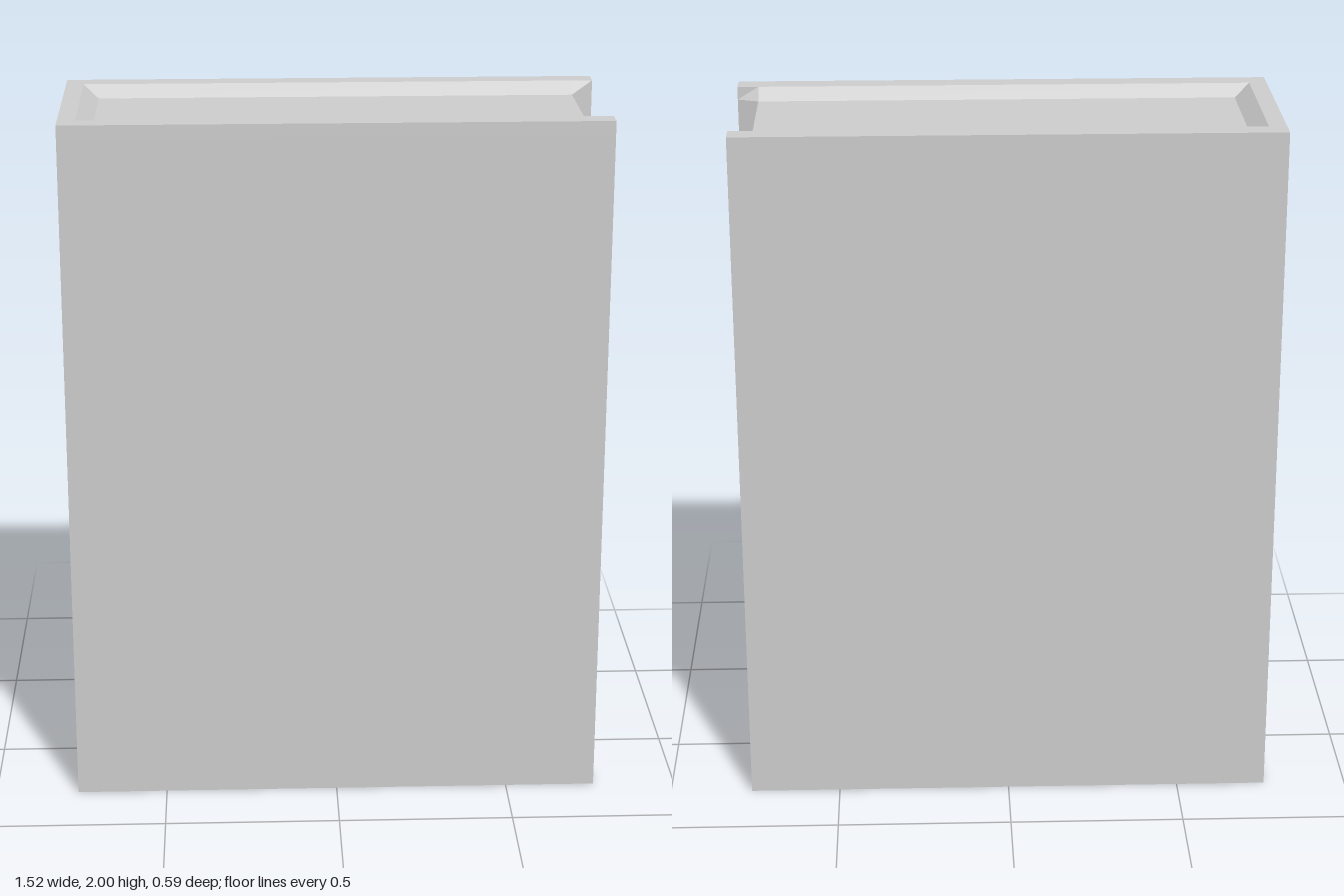
import * as THREE from 'three';

const HALF_X = 0.76, HALF_Z = 0.293;
const PAGE_BACK = -0.667, PAGE_FRONT = 0.7, PAGE_Z = 0.209;
const PAGE_BOTTOM = 0.042, PAGE_TOP = 1.963;
const RIM_BACK = -0.71, RIM_Z = 0.232;

// U-shaped outline of the cover in plan, as [x, z]; the inner corner narrows towards the pages
function coverOutline(innerBack, innerZ) {
  const half = [[-HALF_X, HALF_Z], [HALF_X, HALF_Z], [HALF_X, RIM_Z], [PAGE_FRONT, innerZ], [innerBack, innerZ]];
  return [...half, ...half.map(([x, z]) => [x, -z]).reverse()];
}

// Lofts the cover through four levels and closes both ends
function coverGeometry() {
  const levels = [
    [0, coverOutline(RIM_BACK, RIM_Z)],
    [PAGE_BOTTOM, coverOutline(PAGE_BACK, PAGE_Z)],
    [PAGE_TOP, coverOutline(PAGE_BACK, PAGE_Z)],
    [2, coverOutline(RIM_BACK, RIM_Z)],
  ];
  const n = levels[0][1].length;
  const positions = [], index = [];
  for (const [y, ring] of levels) for (const [x, z] of ring) positions.push(x, y, z);
  for (let l = 0; l < levels.length - 1; l++) {
    for (let i = 0; i < n; i++) {
      const a = l * n + i, b = l * n + (i + 1) % n;
      index.push(a, b, b + n, a, b + n, a + n);
    }
  }
  // End caps; contour given as (x, -z) so that it runs counter-clockwise from above
  const top = (levels.length - 1) * n;
  const contour = levels[0][1].map(([x, z]) => new THREE.Vector2(x, -z));
  for (const [a, b, c] of THREE.ShapeUtils.triangulateShape(contour, [])) {
    const p = contour[a], q = contour[b], r = contour[c];
    const ccw = (q.x - p.x) * (r.y - p.y) - (q.y - p.y) * (r.x - p.x) > 0;
    const [u, v] = ccw ? [b, c] : [c, b];
    index.push(top + a, top + u, top + v, a, v, u);
  }
  const geometry = new THREE.BufferGeometry();
  geometry.setAttribute('position', new THREE.Float32BufferAttribute(positions, 3));
  geometry.setIndex(index);
  const flat = geometry.toNonIndexed();
  flat.computeVertexNormals();
  return flat;
}

export function createModel() {
  const group = new THREE.Group();
  group.name = 'book';
  const material = new THREE.MeshStandardMaterial({ color: 0xcccccc });

  // Spine and both boards in one piece
  const cover = new THREE.Mesh(coverGeometry(), material);
  cover.name = 'cover';
  group.add(cover);

  // Recessed page block
  const pages = new THREE.Mesh(
    new THREE.BoxGeometry(PAGE_FRONT - PAGE_BACK, PAGE_TOP - PAGE_BOTTOM, PAGE_Z * 2), material);
  pages.position.set((PAGE_FRONT + PAGE_BACK) / 2, (PAGE_TOP + PAGE_BOTTOM) / 2, 0);
  pages.name = 'pages';
  group.add(pages);

  return group;
}
